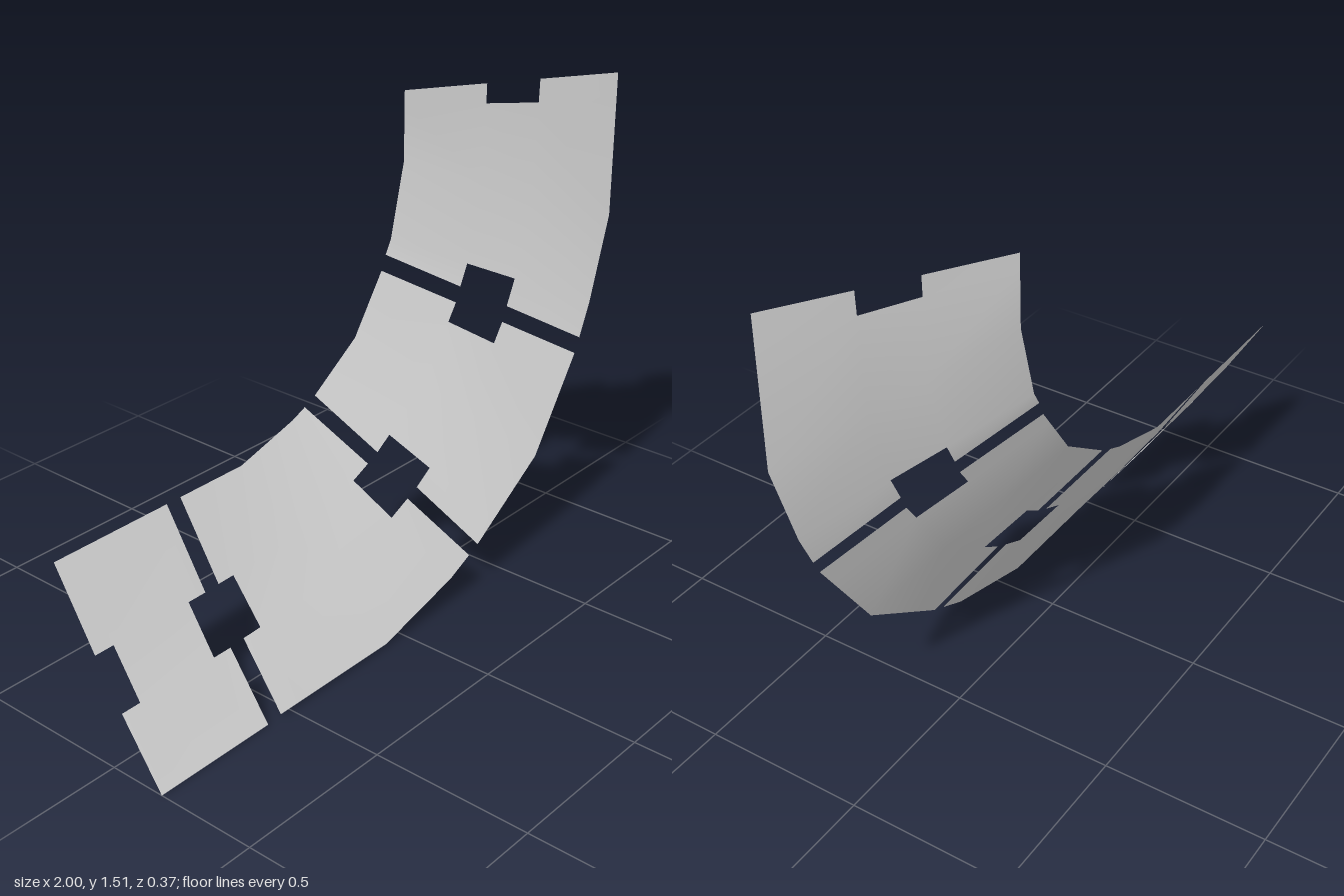
import * as THREE from 'three';

const grey = new THREE.MeshStandardMaterial({ color: 0xd8d8d8, side: THREE.DoubleSide });
grey.name = 'pale grey';

// depth of the four points across the band, from outer rim to inner rim
const DEPTH = [0.183, 0.046, -0.045, -0.183];

// one row of four points; a and b place the sides of the notch between the rims
function row(ox, oy, ix, iy, a = 0.4, b = 0.63) {
  return [0, a, b, 1].map((t, j) =>
    new THREE.Vector3(ox + (ix - ox) * t, oy + (iy - oy) * t, DEPTH[j]));
}

const mix = (r, s, f) => r.map((p, j) => p.clone().lerp(s[j], f));

// a curved plate through the rows, with a notch in the middle of both ends;
// f0 and f1 are notch depths as a share of the end spans (1 = whole span)
function plate(name, rows, f0, f1) {
  const n = rows.length;
  const all = rows.slice();
  if (f1 < 1) all.splice(n - 1, 0, mix(rows[n - 1], rows[n - 2], f1));
  if (f0 < 1) all.splice(1, 0, mix(rows[0], rows[1], f0));
  const index = [];
  for (let i = 0; i < all.length - 1; i++) {
    for (let j = 0; j < 3; j++) {
      if (j === 1 && (i === 0 || i === all.length - 2)) continue; // notch
      const a = i * 4 + j, b = a + 4;
      index.push(a, b, b + 1, a, b + 1, a + 1);
    }
  }
  const geometry = new THREE.BufferGeometry().setFromPoints(all.flat());
  geometry.setIndex(index);
  geometry.computeVertexNormals();
  const mesh = new THREE.Mesh(geometry, grey);
  mesh.name = name;
  return mesh;
}

export function createModel() {
  const model = new THREE.Group();
  model.name = 'curvedPlateBand';
  model.add(
    // short straight plate
    plate('endPlate', [
      row(-1, 0.003, -1, 0.57, 0.345, 0.595),
      row(-0.592, 0.003, -0.592, 0.57, 0.345, 0.595),
    ], 0.16, 0.16),
    // plate where the bend begins
    plate('lowerBendPlate', [
      row(-0.54, 0.01, -0.54, 0.57, 0.345, 0.595),
      row(-0.08, 0.01, -0.295, 0.57, 0.37, 0.61),
      row(0.23, 0.093, -0.075, 0.632),
      row(0.32, 0.135, -0.022, 0.655),
    ], 0.18, 1),
    // plate in the middle of the bend
    plate('middleBendPlate', [
      row(0.363, 0.155, 0.023, 0.677),
      row(0.655, 0.347, 0.206, 0.802),
      row(0.848, 0.638, 0.329, 0.981),
    ], 0.25, 0.24),
    // plate leading out of the bend
    plate('upperBendPlate', [
      row(0.87, 0.685, 0.348, 1.027),
      row(0.916, 0.79, 0.372, 1.07),
      row(1, 1.06, 0.43, 1.3),
      row(1, 1.515, 0.43, 1.517, 0.37, 0.62),
    ], 1, 0.2),
  );
  return model;
}
